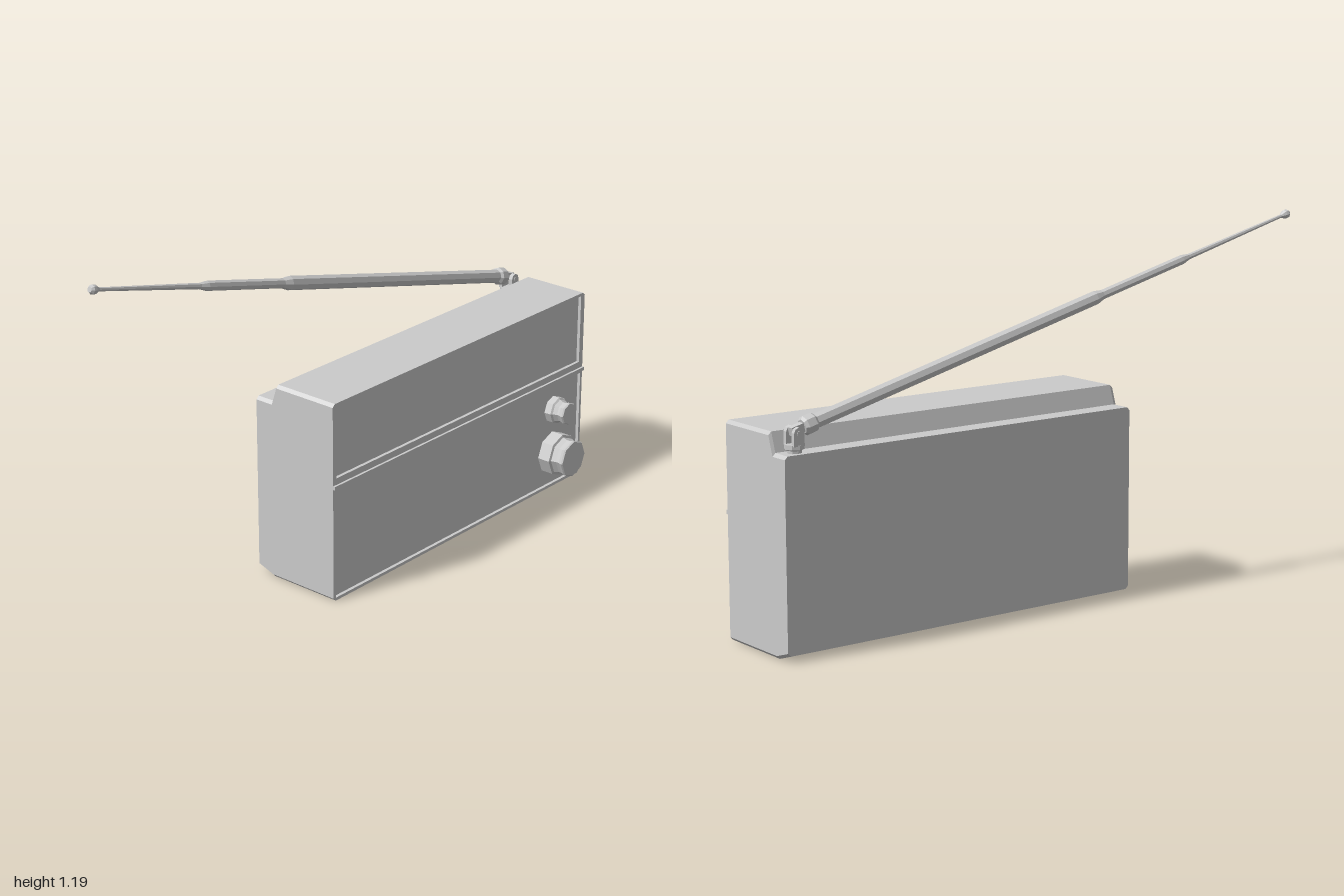
import * as THREE from 'three';

const mat = new THREE.MeshStandardMaterial({ color: 0xcccccc, flatShading: true });

function add(parent, name, geometry, x = 0, y = 0, z = 0) {
  const mesh = new THREE.Mesh(geometry, mat);
  mesh.name = name;
  mesh.position.set(x, y, z);
  parent.add(mesh);
  return mesh;
}

const X0 = -0.29, X1 = 0.995;

// Rectangle with small cut corners, counter-clockwise
function cutRect(x0, y0, x1, y1, c) {
  return [[x0 + c, y0], [x1 - c, y0], [x1, y0 + c], [x1, y1 - c],
    [x1 - c, y1], [x0 + c, y1], [x0, y1 - c], [x0, y0 + c]];
}

// Closed solid through equal-sized rings ordered from back to front
function loft(rings) {
  const n = rings[0].length, pos = rings.flat(2), idx = [];
  const last = (rings.length - 1) * n;
  for (let r = 0; r < rings.length - 1; r++) {
    for (let i = 0; i < n; i++) {
      const a = r * n + i, b = r * n + (i + 1) % n;
      idx.push(a, b, b + n, a, b + n, a + n);
    }
  }
  for (let i = 1; i < n - 1; i++) {
    idx.push(0, i + 1, i, last, last + i, last + i + 1);
  }
  const g = new THREE.BufferGeometry();
  g.setAttribute('position', new THREE.Float32BufferAttribute(pos, 3));
  g.setIndex(idx);
  const flat = g.toNonIndexed();
  flat.computeVertexNormals();
  return flat;
}

function rectPath(x0, y0, x1, y1) {
  return new THREE.Path([[x0, y0], [x0, y1], [x1, y1], [x1, y0]].map(p => new THREE.Vector2(...p)));
}

// Eight-sided turned part along +y, given [radius, height] pairs
function turned(profile, sides = 8) {
  return new THREE.LatheGeometry(profile.map(p => new THREE.Vector2(...p)), sides);
}

export function createModel() {
  const radio = new THREE.Group();
  radio.name = 'radio';

  // Case: [z, bottom, top], with a rear ledge and a chamfered rear foot
  const stations = [[-0.2, 0.02, 0.61], [-0.14, 0, 0.61], [-0.135, 0, 0.61], [-0.115, 0, 0.67], [0.107, 0, 0.67]];
  add(radio, 'case', loft(stations.map(([z, b, t]) =>
    cutRect(X0, b, X1, t, 0.01).map(([x, y]) => [x, y, z]))));

  // Front frame around the two recessed panels
  const frame = new THREE.Shape(cutRect(X0, 0, X1, 0.67, 0.01).map(p => new THREE.Vector2(...p)));
  frame.holes.push(rectPath(-0.275, 0.42, 0.975, 0.66), rectPath(-0.28, 0.01, 0.985, 0.377));
  add(radio, 'frontFrame', new THREE.ExtrudeGeometry(frame, { depth: 0.011, bevelEnabled: false }), 0, 0, 0.107);

  // Thin rib between the panels
  add(radio, 'dividerRib', new THREE.BoxGeometry(X1 - X0, 0.012, 0.014), (X0 + X1) / 2, 0.392, 0.119);

  // Control knobs: wide skirt, waisted grip
  const knobs = [
    ['tuningKnob', 0.125, [[0, 0], [0.075, 0], [0.075, 0.046], [0.066, 0.049], [0.061, 0.066], [0.061, 0.078], [0.066, 0.09], [0.063, 0.095], [0, 0.095]]],
    ['volumeKnob', 0.285, [[0, 0], [0.047, 0], [0.047, 0.026], [0.041, 0.031], [0.035, 0.045], [0.035, 0.053], [0.04, 0.067], [0.037, 0.072], [0, 0.072]]],
  ];
  for (const [name, y, profile] of knobs) {
    add(radio, name, turned(profile), 0.848, y, 0.106).rotation.x = Math.PI / 2;
  }

  // Aerial hinge: swivel foot, two ears and a pin
  const hinge = new THREE.Group();
  hinge.name = 'aerialHinge';
  hinge.position.set(0.94, 0.61, -0.165);
  radio.add(hinge);
  add(hinge, 'swivelFoot', turned([[0, 0], [0.022, 0], [0.022, 0.008], [0.03, 0.012], [0.03, 0.026], [0, 0.026]]));
  for (const s of [-1, 1]) {
    add(hinge, 'hingeEar', new THREE.BoxGeometry(0.036, 0.04, 0.014), 0, 0.042, s * 0.021);
    add(hinge, 'hingeEarTop', new THREE.CylinderGeometry(0.018, 0.018, 0.014, 8), 0, 0.06, s * 0.021).rotation.x = Math.PI / 2;
  }
  add(hinge, 'hingePin', new THREE.CylinderGeometry(0.008, 0.008, 0.06, 8), 0, 0.06, 0).rotation.x = Math.PI / 2;

  // Telescopic aerial, leaning from the hinge to the far side
  const aerial = new THREE.Group();
  aerial.name = 'aerial';
  aerial.position.set(0.94, 0.675, -0.165);
  const dx = -1.94, dy = 0.5, len = Math.hypot(dx, dy);
  aerial.rotation.z = Math.atan2(-dx, dy);
  radio.add(aerial);
  add(aerial, 'aerialTongue', new THREE.BoxGeometry(0.026, 0.06, 0.022), 0, 0.018, 0);
  add(aerial, 'aerialCollar', turned([[0, 0.03], [0.022, 0.03], [0.03, 0.038], [0.03, 0.066], [0.022, 0.076], [0, 0.076]]));
  add(aerial, 'lowerSection', turned([[0, 0.06], [0.023, 0.06], [0.023, 1.15], [0.016, 1.18], [0, 1.18]]));
  add(aerial, 'middleSection', turned([[0, 1.16], [0.016, 1.16], [0.016, 1.52], [0.01, 1.55], [0, 1.55]]));
  add(aerial, 'upperSection', turned([[0, 1.54], [0.01, 1.54], [0.006, len - 0.03], [0, len - 0.03]]));
  add(aerial, 'aerialTip', turned([[0, len - 0.036], [0.006, len - 0.036], [0.015, len - 0.018], [0.015, len - 0.008], [0.009, len], [0, len]]));

  return radio;
}
